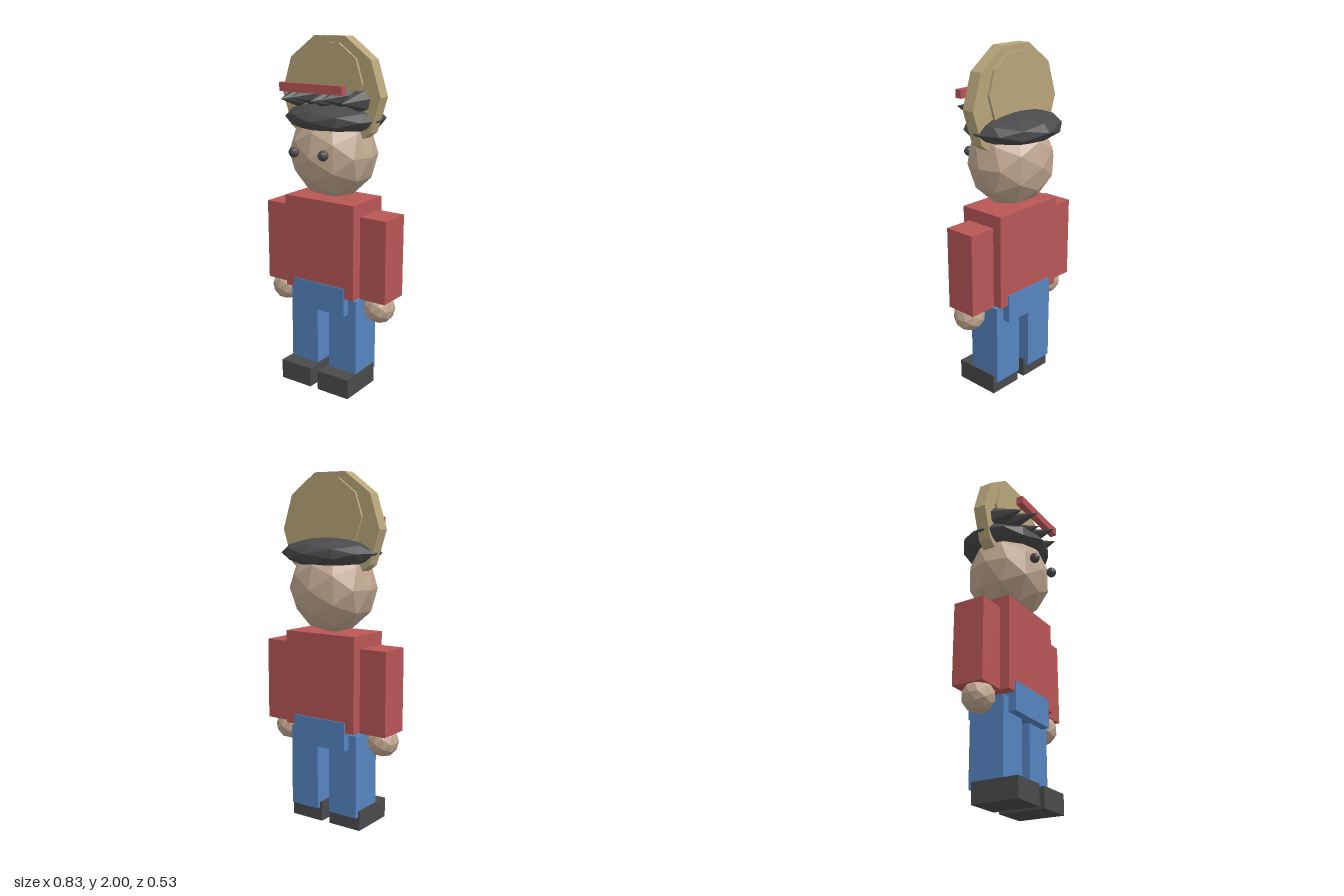
import * as THREE from 'three';

const mat = (name, color) => {
  const m = new THREE.MeshStandardMaterial({ color, flatShading: true });
  m.name = name;
  return m;
};

export function createModel() {
  const red = mat('shirtRed', 0xb85656);
  const blue = mat('denimBlue', 0x5584bf);
  const skin = mat('skin', 0xbfa68f);
  const tan = mat('strawTan', 0xb7a57a);
  const dark = mat('charcoal', 0x4a4a4c);

  const model = new THREE.Group();
  model.name = 'figure';

  const add = (name, geometry, material, x, y, z) => {
    const mesh = new THREE.Mesh(geometry, material);
    mesh.name = name;
    mesh.position.set(x, y, z);
    model.add(mesh);
    return mesh;
  };
  // Box given by its lower and upper limits
  const box = (name, material, [x0, x1], [y0, y1], [z0, z1]) =>
    add(name, new THREE.BoxGeometry(x1 - x0, y1 - y0, z1 - z0), material,
      (x0 + x1) / 2, (y0 + y1) / 2, (z0 + z1) / 2);
  const ball = (name, material, rx, ry, rz, x, y, z) =>
    add(name, new THREE.IcosahedronGeometry(1, 1).scale(rx, ry, rz), material, x, y, z);
  // Upright ten-sided disc with a corner on each side and a flat top
  const disc = (name, radius, depth, y, z) =>
    add(name, new THREE.CylinderGeometry(radius, radius, depth, 10)
      .rotateY(Math.PI / 2).rotateX(Math.PI / 2), tan, 0, y, z);

  // Body
  box('torso', red, [-0.233, 0.233], [0.577, 1.12], [-0.135, 0.148]);
  box('hips', blue, [-0.175, 0.175], [0.472, 0.636], [-0.142, 0.154]);

  // Limbs, mirrored
  for (const [side, s] of [['left', 1], ['right', -1]]) {
    const span = (a, b) => (s > 0 ? [a, b] : [-b, -a]);
    box(side + 'Arm', red, span(0.243, 0.407), [0.577, 1.05], [-0.09, 0.097]);
    ball(side + 'Hand', skin, 0.09, 0.09, 0.09, s * 0.327, 0.523, 0.021);
    box(side + 'Leg', blue, span(0.04, 0.226), [0.08, 0.557], [-0.098, 0.108]);
    box(side + 'Shoe', dark, span(0.026, 0.235), [0, 0.115], [-0.075, 0.2]);
    add(side + 'Eye', new THREE.SphereGeometry(0.029, 10, 8), dark, s * 0.097, 1.392, 0.236);
  }

  // Head and cap
  ball('head', skin, 0.255, 0.255, 0.235, 0, 1.365, 0.003);
  ball('cap', dark, 0.293, 0.088, 0.255, 0, 1.562, -0.016);

  // Upright brim behind the fringe
  disc('brim', 0.325, 0.075, 1.691, 0.003);
  disc('brimPanel', 0.22, 0.106, 1.757, 0.003);

  // Fringe of forward spikes, alternating in length
  for (let i = -2; i <= 2; i++) {
    const tip = i % 2 ? 0.262 : 0.215;
    const base = 0.04;
    add('fringeSpike', new THREE.ConeGeometry(0.063, tip - base, 7).rotateX(Math.PI / 2), dark,
      i * 0.1, i % 2 ? 1.685 : 1.668, (tip + base) / 2);
  }
  box('headband', red, [-0.204, 0.204], [1.711, 1.759], [0.181, 0.22]);

  return model;
}
